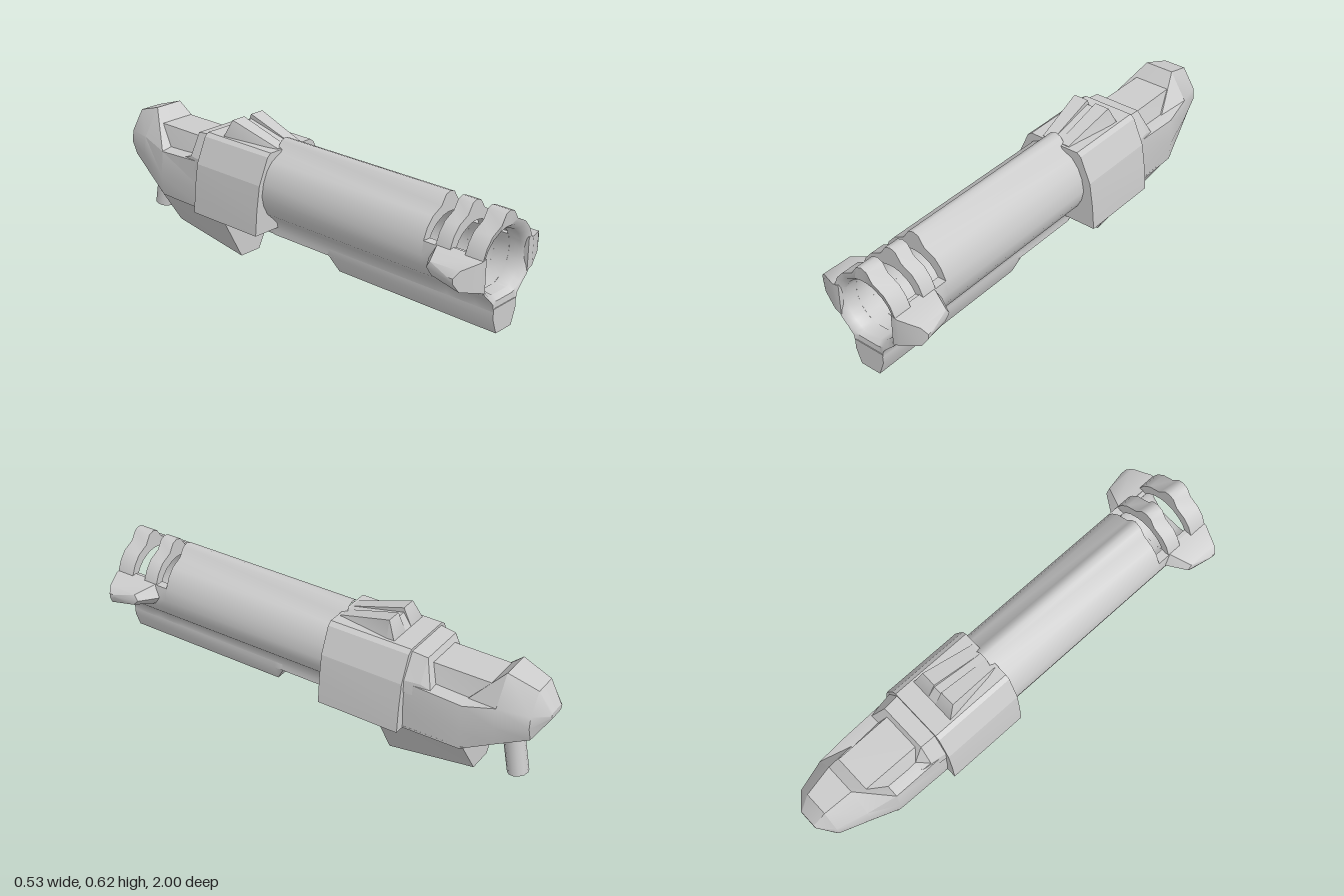
import * as THREE from 'three';
import { toCreasedNormals } from 'three/addons/utils/BufferGeometryUtils.js';

const material = new THREE.MeshStandardMaterial({ color: 0xcccccc });
const BORE_Y = 0.375, BORE_R = 0.125, SLOT_Y = 0.43;

// Right half outline, listed bottom to top, mirrored to a full counter-clockwise outline
const mirror = (half) => [
  ...half,
  ...half.filter(([x]) => x > 0).reverse().map(([x, y]) => [-x, y]),
];
const at = (outline, z) => outline.map(([x, y]) => new THREE.Vector3(x, y, z));

// Skin through rings with equal point counts, optionally capped at either end
function loft(rings, { start = true, end = true, crease = 0.45 } = {}) {
  const pos = [];
  const tri = (...pts) => pts.forEach((p) => pos.push(p.x, p.y, p.z));
  const n = rings[0].length;
  for (let r = 0; r < rings.length - 1; r++) {
    const a = rings[r], b = rings[r + 1];
    for (let i = 0; i < n; i++) {
      const j = (i + 1) % n;
      tri(a[i], a[j], b[j]);
      tri(a[i], b[j], b[i]);
    }
  }
  const cap = (ring, flip) => {
    const c = ring.reduce((s, p) => s.add(p), new THREE.Vector3()).divideScalar(n);
    ring.forEach((p, i) => {
      const q = ring[(i + 1) % n];
      if (flip) tri(c, q, p); else tri(c, p, q);
    });
  };
  if (start) cap(rings[0], true);
  if (end) cap(rings[rings.length - 1], false);
  const g = new THREE.BufferGeometry();
  g.setAttribute('position', new THREE.Float32BufferAttribute(pos, 3));
  return toCreasedNormals(g, crease);
}

function add(parent, name, geometry) {
  const mesh = new THREE.Mesh(geometry, material);
  mesh.name = name;
  parent.add(mesh);
  return mesh;
}

// Symmetric loft along z: sections are [z, half outline], back to front
const addLoft = (parent, name, sections, options) =>
  add(parent, name, loft(sections.map(([z, half]) => at(mirror(half), z)), options));

function buildBarrel(parent) {
  const outer = mirror([
    [0.07, 0.175], [0.068, 0.2], [0.075, 0.235], [0.1, 0.262], [0.13, 0.29], [0.151, 0.33],
    [0.16, 0.375], [0.15, SLOT_Y], [0.13, 0.475], [0.1, 0.51], [0.05, 0.535], [0.025, 0.573], [0, 0.582],
  ]);
  const circle = (r) => outer.map(([x, y]) => {
    const a = Math.atan2(y - BORE_Y, x);
    return [r * Math.cos(a), BORE_Y + r * Math.sin(a)];
  });
  const inner = circle(BORE_R);
  const smooth = 0.75;

  // Main tube with a blind bore
  add(parent, 'barrelTube', loft(
    [at(outer, -0.1), at(outer, 0.735), at(inner, 0.735), at(inner, 0)], { crease: smooth, start: false }));
  // Vent ring, and the muzzle ring with a flared mouth
  const ring = (name, z0, z1, flare) => add(parent, name, loft(
    [at(outer, z0), at(outer, z1), at(circle(BORE_R + flare), z1 - flare * 0.3),
      at(inner, z1 - flare * 1.5), at(inner, z0), at(outer, z0)],
    { crease: smooth, start: false, end: false }));
  ring('ventRing', 0.79, 0.855, 0);
  ring('muzzleRing', 0.92, 1, 0.018);

  // Lower half of the tube carries on under each open vent slot
  const right = outer.slice(0, 8), left = right.map(([x, y]) => [-x, y]).reverse();
  const cut = Math.sqrt(BORE_R ** 2 - (SLOT_Y - BORE_Y) ** 2);
  const a0 = Math.atan2(SLOT_Y - BORE_Y, -cut) - 2 * Math.PI;
  const a1 = Math.atan2(SLOT_Y - BORE_Y, cut);
  const channel = [];
  for (let i = 0; i <= 12; i++) {
    const a = a1 + (a0 - a1 + 0) * (i / 12);
    channel.push([BORE_R * Math.cos(a), BORE_Y + BORE_R * Math.sin(a)]);
  }
  const shape = new THREE.Shape(
    [...left, ...right, ...channel].map(([x, y]) => new THREE.Vector2(x, y)));
  [[0.735, 0.79], [0.855, 0.92]].forEach(([z0, z1]) => {
    const g = new THREE.ExtrudeGeometry(shape, { depth: z1 - z0, bevelEnabled: false });
    g.translate(0, 0, z0);
    add(parent, 'slotFloor', toCreasedNormals(g, smooth));
  });

  // Keel under the barrel, ramped at its rear end
  const keel = [[0.046, 0.11], [0.07, 0.175], [0.068, 0.215]];
  addLoft(parent, 'keel', [
    [0.2, [[0.066, 0.174], [0.07, 0.177], [0.068, 0.215]]], [0.24, keel], [1, keel],
  ]);
  const rail = [[0.066, 0.175], [0.068, 0.25]];
  addLoft(parent, 'underRail', [[-0.34, rail], [-0.05, rail]]);

  // Side fins at the muzzle
  const finRings = [
    [0.13, [[1, 0.3], [0.8, 0.33], [0.765, 0.375], [0.79, 0.435], [1, 0.435]]],
    [0.16, [[1, 0.312], [0.8, 0.342], [0.77, 0.378], [0.8, 0.43], [1, 0.43]]],
    [0.24, [[0.968, 0.333], [0.845, 0.36], [0.82, 0.385], [0.835, 0.412], [0.968, 0.415]]],
    [0.263, [[0.955, 0.37], [0.93, 0.378], [0.925, 0.385], [0.93, 0.39], [0.955, 0.39]]],
  ];
  for (const side of [1, -1]) {
    const rings = finRings.map(([x, pts]) => {
      const ringPts = pts.map(([z, y]) => new THREE.Vector3(side * x, y, z));
      return side > 0 ? ringPts : ringPts.reverse();
    });
    add(parent, side > 0 ? 'leftFin' : 'rightFin', loft(rings, { crease: 0.7 }));
  }
}

function buildSight(parent) {
  // Two ramped rails rising toward the rear, with a lower ridge between them
  const wedge = (name, base, peak, y) => {
    const ring = (z, [x0, x1], [t0, t1], top) =>
      at([[x0, 0.53], [x1, 0.53], [t1, top], [t0, top]], z);
    add(parent, name, loft([
      ring(-0.36, base, base, 0.545),
      ring(-0.325, base, peak, y),
      ring(-0.09, base.map((x) => x * 0.7), peak.map((x) => x * 0.75), 0.55),
    ]));
  };
  wedge('sightRail', [0.02, 0.106], [0.02, 0.086], 0.62);
  wedge('sightRail', [-0.106, -0.02], [-0.086, -0.02], 0.62);
  wedge('sightRidge', [-0.021, 0.021], [-0.021, 0.021], 0.6);
}

function buildRear(parent) {
  // Faceted sleeve around the barrel root
  const sleeve = [[0.207, 0.213], [0.198, 0.32], [0.182, 0.424], [0.134, 0.533], [0.115, 0.547]];
  addLoft(parent, 'sleeve', [[-0.443, sleeve], [-0.078, sleeve]], { crease: 0.1 });

  // Stepped collar sloping down to the rear
  addLoft(parent, 'collar', [
    [-0.55, [[0.155, 0.38], [0.15, 0.42], [0.11, 0.427]]],
    [-0.51, [[0.16, 0.38], [0.155, 0.435], [0.105, 0.528]]],
    [-0.43, [[0.17, 0.38], [0.168, 0.435], [0.11, 0.537]]],
  ], { crease: 0.1 });
  addLoft(parent, 'topBlock', [
    [-0.79, [[0.11, 0.39], [0.08, 0.5]]],
    [-0.52, [[0.125, 0.39], [0.082, 0.5]]],
  ]);

  // Rear body rising into a rounded hood
  addLoft(parent, 'hood', [
    [-1, [[0.035, 0.405], [0.043, 0.415], [0.043, 0.422], [0.035, 0.43]]],
    [-0.945, [[0.09, 0.318], [0.11, 0.38], [0.105, 0.43], [0.05, 0.515]]],
    [-0.82, [[0.125, 0.268], [0.15, 0.36], [0.14, 0.44], [0.065, 0.556]]],
    [-0.69, [[0.16, 0.213], [0.167, 0.3], [0.158, 0.41], [0.11, 0.418]]],
    [-0.42, [[0.165, 0.213], [0.167, 0.3], [0.162, 0.425], [0.11, 0.435]]],
  ], { crease: 0.5 });

  // Tapered block below
  addLoft(parent, 'lowerBlock', [
    [-0.705, [[0.053, 0.06], [0.16, 0.225]]],
    [-0.322, [[0.053, 0], [0.168, 0.22]]],
  ]);

  // Slanted pin under the hood
  const pin = add(parent, 'pin', toCreasedNormals(new THREE.CylinderGeometry(0.043, 0.043, 0.24, 12), 0.7));
  pin.position.set(0, 0.2, -0.847);
  pin.rotation.x = 0.19;

  buildSight(parent);
}

export function createModel() {
  const model = new THREE.Group();
  model.name = 'model';
  const barrel = new THREE.Group();
  barrel.name = 'barrel';
  buildBarrel(barrel);
  const rear = new THREE.Group();
  rear.name = 'rearAssembly';
  rear.position.x = 0.008;
  buildRear(rear);
  model.add(barrel, rear);
  return model;
}
